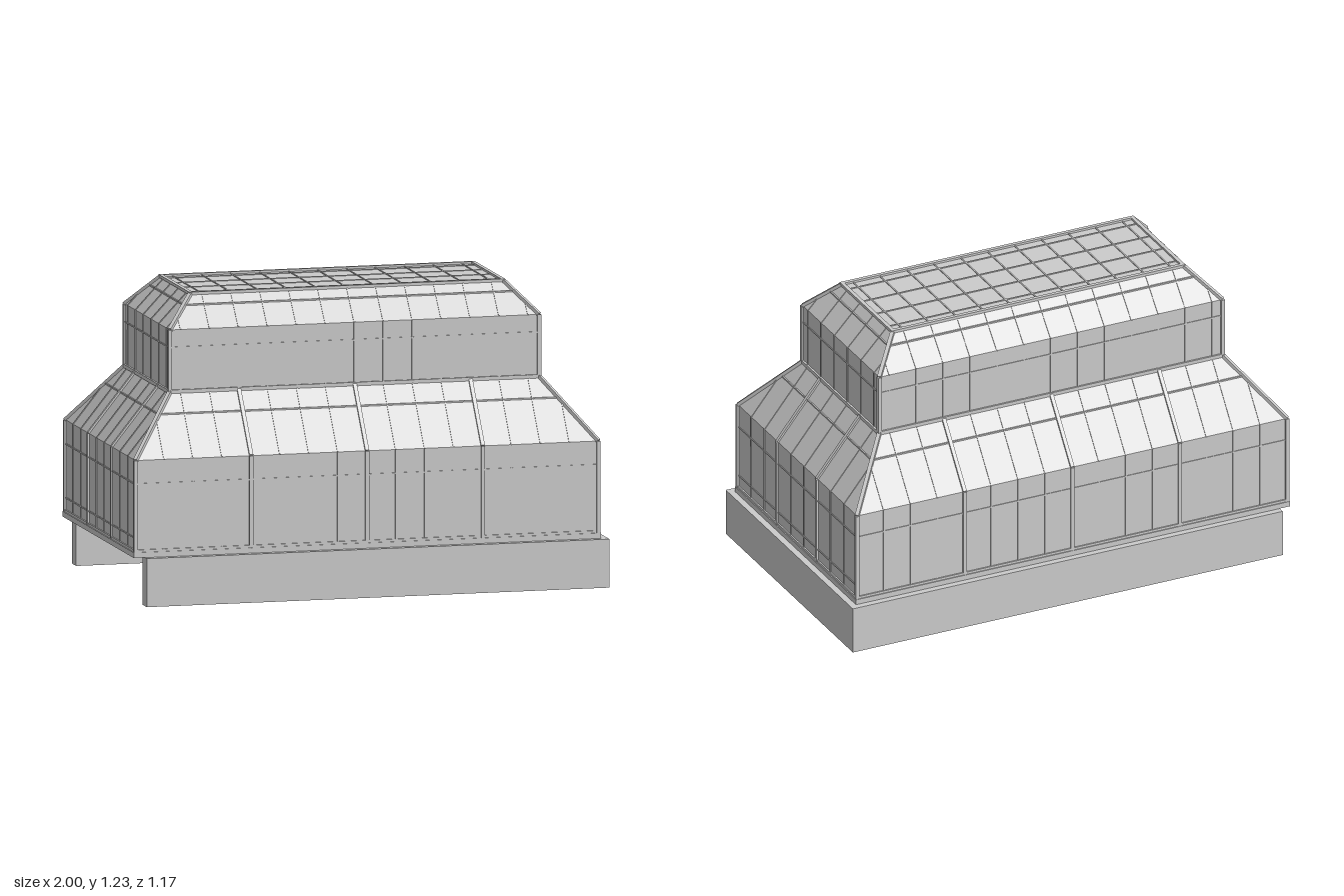
import * as THREE from 'three';

const material = new THREE.MeshStandardMaterial({ color: 0xcccccc, flatShading: true, side: THREE.DoubleSide });
const CX = -0.0125;   // the glasshouse sits slightly off its plinth
const PITCH = 0.122;  // spacing of the glazing bars
const THICK = 0.016, THIN = 0.006;

// Rings of the glass shell: height, half width (x), half depth (z)
const rings = [
  [0.2, 0.975, 0.548], [0.6, 0.975, 0.548], [0.845, 0.778, 0.353],
  [1.1, 0.778, 0.353], [1.225, 0.66, 0.235],
];
// Heights of the thin horizontal bars in each tier
const tierBars = [[0.28, 0.502], [0.765], [1.027], [1.187]];

export function createModel() {
  const model = new THREE.Group();

  const box = (parent, name, w, h, d, x, y, z) => {
    const mesh = new THREE.Mesh(new THREE.BoxGeometry(w, h, d), material);
    mesh.name = name;
    mesh.position.set(x, y, z);
    parent.add(mesh);
  };

  // Square bar between two points
  const bar = (parent, name, a, b, size) => {
    const dir = b.clone().sub(a);
    const length = dir.length();
    if (length < 0.01) return;
    const mesh = new THREE.Mesh(new THREE.BoxGeometry(size, size, length), material);
    mesh.name = name;
    mesh.position.copy(a).add(b).multiplyScalar(0.5);
    mesh.lookAt(b);
    parent.add(mesh);
  };

  // Flat pane from four corners
  const pane = (parent, name, corners) => {
    const geometry = new THREE.BufferGeometry().setFromPoints(corners);
    geometry.setIndex([0, 1, 2, 0, 2, 3]);
    geometry.computeVertexNormals();
    const mesh = new THREE.Mesh(geometry, material);
    mesh.name = name;
    parent.add(mesh);
  };

  // Rectangular frame lying flat
  const rectFrame = (name, y, h, hw, hd, w) => {
    const group = new THREE.Group();
    group.name = name;
    for (const s of [-1, 1]) {
      box(group, name + 'Long', 2 * hw, h, w, CX, y, s * (hd - w / 2));
      box(group, name + 'Short', w, h, 2 * hd - 2 * w, CX + s * (hw - w / 2), y, 0);
    }
    model.add(group);
  };

  // Plinth walls on three sides, open at the right end
  const plinth = new THREE.Group();
  plinth.name = 'plinth';
  for (const s of [-1, 1]) box(plinth, 'longPlinthWall', 1.95, 0.2, 0.065, 0.025, 0.1, s * 0.553);
  box(plinth, 'endPlinthWall', 0.065, 0.2, 1.041, 0.9675, 0.1, 0);
  model.add(plinth);

  // Sill, eaves rail and roof rim
  rectFrame('sill', 0.211, 0.022, 0.985, 0.558, 0.03);
  rectFrame('bottomRail', 0.226, 0.012, 0.981, 0.554, 0.016);
  rectFrame('middleRail', 0.846, 0.015, 0.786, 0.361, 0.016);
  rectFrame('roofRim', 1.228, 0.012, 0.666, 0.241, 0.016);

  // One wall or roof slope; side 0 and 2 are front and back, 1 and 3 the ends
  const glazeSide = (tier, side) => {
    const [y0, w0, d0] = rings[tier];
    const [y1, w1, d1] = rings[tier + 1];
    const long = side % 2 === 0;
    const sign = side < 2 ? 1 : -1;
    const half0 = long ? w0 : d0, half1 = long ? w1 : d1;
    const out0 = long ? d0 : w0, out1 = long ? d1 : w1;
    const point = (u, t) => {
      const out = sign * THREE.MathUtils.lerp(out0, out1, t);
      const y = THREE.MathUtils.lerp(y0, y1, t);
      return long ? new THREE.Vector3(CX + u, y, out) : new THREE.Vector3(CX + out, y, u);
    };
    const group = new THREE.Group();
    group.name = ['front', 'left', 'back', 'right'][side] + ['LowerWall', 'LowerRoof', 'UpperWall', 'UpperRoof'][tier];
    const corners = [point(-half0, 0), point(half0, 0), point(half1, 1), point(-half1, 1)];
    pane(group, 'glass', corners);

    // Upright bars, cut off where they meet the hip
    const first = long ? 0 : 0.5;
    for (let k = first; k * PITCH < half0 - 0.02; k++) {
      const u = k * PITCH;
      const top = u <= half1 ? 1 : (half0 - u) / (half0 - half1);
      const main = tier < 2 && (long ? k % 4 === 0 : k === 1.5);
      for (const s of k === 0 ? [1] : [-1, 1]) {
        bar(group, main ? 'mullion' : 'glazingBar', point(s * u, 0), point(s * u, top), main ? THICK : THIN);
      }
    }
    // Cross bars
    for (const y of tierBars[tier]) {
      if (long && y < 0.3) continue;
      const t = (y - y0) / (y1 - y0);
      const half = THREE.MathUtils.lerp(half0, half1, t);
      bar(group, 'crossBar', point(-half, t), point(half, t), THIN);
    }
    // Corner post or hip
    bar(group, 'cornerPost', corners[1], corners[2], THICK);
    if (long) bar(group, 'cornerPost', corners[0], corners[3], THICK);
    model.add(group);
  };
  for (let tier = 0; tier < 4; tier++) for (let side = 0; side < 4; side++) glazeSide(tier, side);

  // Flat glazed top
  const [ty, tw, td] = rings[4];
  const roof = new THREE.Group();
  roof.name = 'flatRoof';
  const at = (x, z) => new THREE.Vector3(CX + x, ty, z);
  pane(roof, 'glass', [at(-tw, td), at(tw, td), at(tw, -td), at(-tw, -td)]);
  for (let k = -5; k <= 5; k++) bar(roof, 'glazingBar', at(k * PITCH, -td), at(k * PITCH, td), THIN);
  for (const k of [-1.5, -0.5, 0.5, 1.5]) bar(roof, 'glazingBar', at(-tw, k * PITCH), at(tw, k * PITCH), THIN);
  model.add(roof);

  return model;
}
